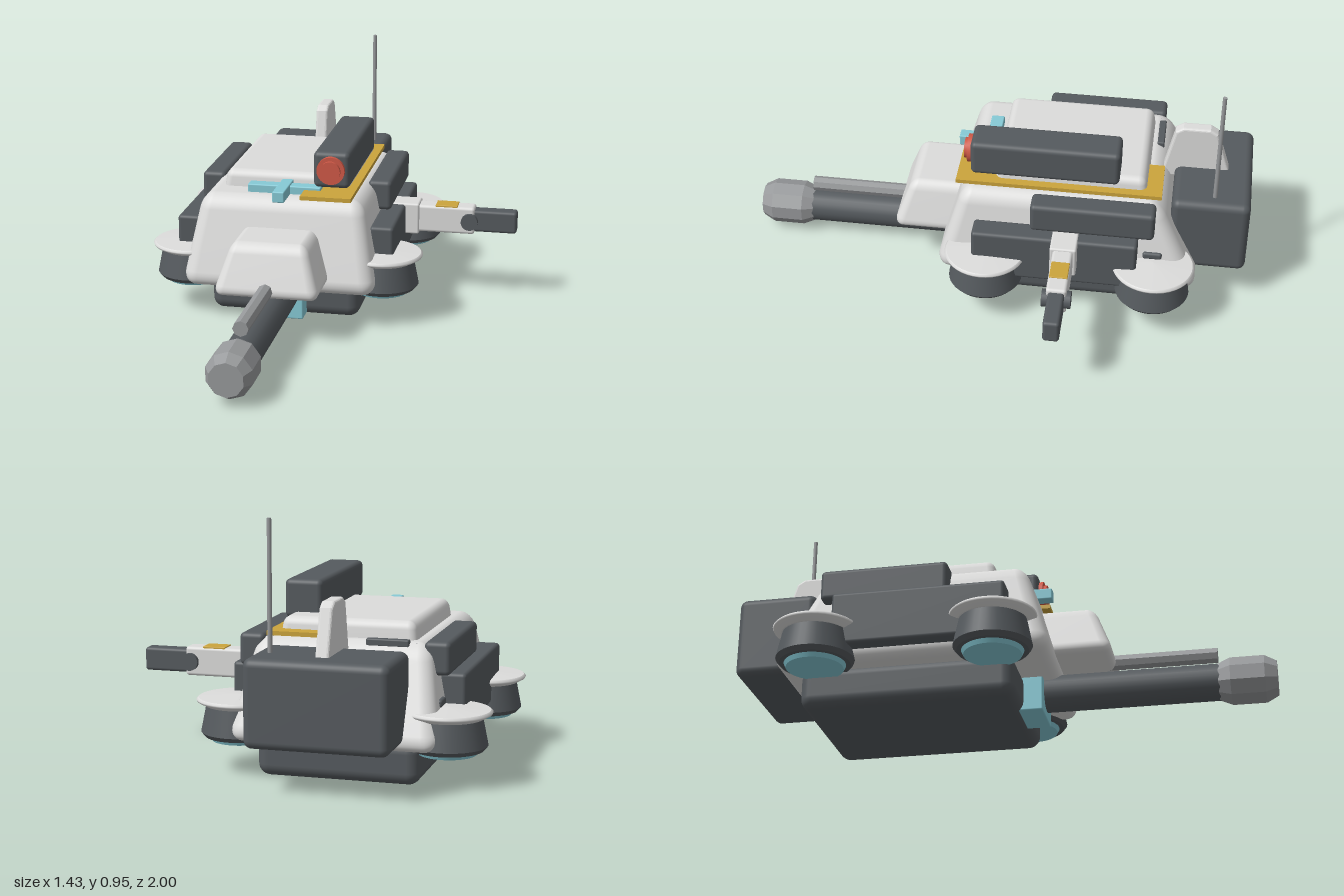
import * as THREE from 'three';
import { RoundedBoxGeometry } from 'three/addons/geometries/RoundedBoxGeometry.js';
import { mergeVertices } from 'three/addons/utils/BufferGeometryUtils.js';

const paint = (name, color) => {
  const m = new THREE.MeshStandardMaterial({ color });
  m.name = name;
  return m;
};

export function createModel() {
  const light = paint('lightGrey', 0xdcdcdb);
  const dark = paint('darkGrey', 0x555a5e);
  const steel = paint('steelGrey', 0x97999b);
  const cyan = paint('cyan', 0x86cad6);
  const gold = paint('gold', 0xcba43c);
  const red = paint('red', 0xcf5947);
  const model = new THREE.Group();
  model.name = 'hoverTank';
  const MID = -0.17; // centre line of the hull

  const add = (name, geo, mat, x = 0, y = 0, z = 0, parent = model) => {
    const mesh = new THREE.Mesh(geo, mat);
    mesh.name = name;
    mesh.position.set(x, y, z);
    parent.add(mesh);
    return mesh;
  };

  // Rounded box between two corners; top = [x0, x1, z0, z1] tapers its upper end
  const block = (name, mat, [x0, x1], [y0, y1], [z0, z1], r = 0.015, top = null) => {
    const w = x1 - x0, h = y1 - y0, d = z1 - z0;
    let geo = new RoundedBoxGeometry(w, h, d, 4, r);
    geo.translate((x0 + x1) / 2, (y0 + y1) / 2, (z0 + z1) / 2);
    if (top) {
      const p = geo.attributes.position;
      for (let i = 0; i < p.count; i++) {
        const t = (p.getY(i) - y0) / h;
        const u = (p.getX(i) - x0) / w, v = (p.getZ(i) - z0) / d;
        const a = THREE.MathUtils.lerp(x0, top[0], t), b = THREE.MathUtils.lerp(x1, top[1], t);
        const c = THREE.MathUtils.lerp(z0, top[2], t), e = THREE.MathUtils.lerp(z1, top[3], t);
        p.setX(i, a + u * (b - a));
        p.setZ(i, c + v * (e - c));
      }
      geo.deleteAttribute('uv');
      geo.deleteAttribute('normal');
      geo = mergeVertices(geo, 1e-5);
      geo.computeVertexNormals();
    }
    return add(name, geo, mat);
  };

  // Faceted or round rod along z
  const rod = (name, mat, r, z0, z1, x, y, sides = 24, flat = false) => {
    let geo = new THREE.CylinderGeometry(r, r, z1 - z0, sides).rotateX(Math.PI / 2);
    if (flat) { geo = geo.toNonIndexed(); geo.computeVertexNormals(); }
    return add(name, geo, mat, x, y, (z0 + z1) / 2);
  };

  // Hull
  block('lowerHull', dark, [-0.47, 0.13], [0, 0.16], [-0.73, 0.07], 0.045);
  block('upperHull', light, [-0.56, 0.22], [0.14, 0.5], [-0.83, 0.22], 0.06, [-0.49, 0.15, -0.65, 0.115]);
  block('roofPanel', light, [-0.435, 0.085], [0.46, 0.565], [-0.605, 0], 0.03, [-0.42, 0.07, -0.59, -0.015]);
  block('frontHood', light, [-0.38, 0.04], [0.185, 0.385], [0.08, 0.42], 0.04, [-0.315, -0.025, 0.08, 0.345]);
  block('rearBox', dark, [-0.43, 0.09], [0.165, 0.482], [-1, -0.695], 0.03);

  // Rear fin
  const fin = new THREE.Shape([[0.65, 0.44], [0.695, 0.64], [0.72, 0.656], [0.82, 0.656], [0.845, 0.64], [0.91, 0.44]]
    .map(([x, y]) => new THREE.Vector2(x, y)));
  const finGeo = new THREE.ExtrudeGeometry(fin, {
    depth: 0.03, bevelEnabled: true, bevelThickness: 0.01, bevelSize: 0.009, bevelSegments: 3,
  }).translate(0, 0, -0.015).rotateY(Math.PI / 2);
  add('rearFin', finGeo, light, MID);

  // Antenna
  add('antenna', new THREE.CylinderGeometry(0.008, 0.009, 0.5, 12), steel, 0.03, 0.7, -0.86);

  // Hover pods
  const lathe = pts => new THREE.LatheGeometry(pts.map(([r, y]) => new THREE.Vector2(r, y)), 40);
  for (const x of [-0.555, 0.215]) for (const z of [-0.645, 0.012]) {
    const pod = new THREE.Group();
    pod.name = 'hoverPod';
    pod.position.set(x, 0, z);
    model.add(pod);
    add('podBody', lathe([[0, 0.128], [0.13, 0.128], [0.13, 0.128], [0.144, 0.145], [0.144, 0.145], [0.124, 0.245], [0.124, 0.245], [0, 0.245]]), dark, 0, 0, 0, pod);
    add('podRim', lathe([[0, 0.243], [0.13, 0.243], [0.13, 0.243], [0.157, 0.258], [0.16, 0.265], [0.152, 0.272], [0.152, 0.272], [0, 0.28]]), light, 0, 0, 0, pod);
    add('podGlow', new THREE.CylinderGeometry(0.115, 0.105, 0.02, 40), cyan, 0, 0.122, 0, pod);
  }

  // Side boxes and vents, mirrored about the hull's centre line
  for (const s of [-1, 1]) {
    const span = (a, b) => [MID + s * a, MID + s * b].sort((p, q) => p - q);
    block('upperSideBox', dark, span(0.295, 0.39), [0.385, 0.505], [-0.64, -0.16], 0.018);
    block('lowerSideBox', dark, span(0.34, 0.435), [0.18, 0.385], [-0.58, 0.062], 0.014);
    block('sideVent', dark, span(0.33, 0.37), [0.278, 0.307], [-0.675, -0.6], 0.01);
    add('frontBolt', new THREE.SphereGeometry(0.013, 12, 8), steel, MID + s * 0.265, 0.487, 0.07);
    add('rearBolt', new THREE.SphereGeometry(0.01, 12, 8), steel, MID + s * 0.265, 0.487, -0.62);
  }
  block('roofSlot', dark, [-0.412, -0.255], [0.48, 0.508], [-0.645, -0.617], 0.006);

  // Main gun
  rod('gunBarrel', dark, 0.069, 0.05, 0.83, MID, 0.107, 20);
  rod('gunRail', steel, 0.03, 0.1, 0.785, MID, 0.215, 8, true);
  const muzzle = new THREE.LatheGeometry(
    [[0, 0.785], [0.07, 0.785], [0.09, 0.83], [0.09, 0.955], [0.066, 1], [0, 1]].map(([r, y]) => new THREE.Vector2(r, y)), 10)
    .rotateX(Math.PI / 2).toNonIndexed();
  muzzle.computeVertexNormals();
  add('gunMuzzle', muzzle, steel, MID, 0.107, 0);
  block('gunMount', cyan, [-0.268, -0.08], [0.01, 0.18], [0, 0.142], 0.006);

  // Roof sight: crossbar with a forward rod
  block('sightCrossbar', cyan, [-0.317, -0.025], [0.492, 0.532], [0.008, 0.06], 0.005);
  block('sightRod', cyan, [-0.194, -0.147], [0.495, 0.539], [-0.02, 0.168], 0.005);

  // Launcher on its gold plate
  add('launcherPlate', new THREE.BoxGeometry(0.2, 0.016, 0.8), gold, 0.01, 0.512, -0.257);
  block('launcherTube', dark, [-0.048, 0.095], [0.541, 0.685], [-0.49, 0.088], 0.02);
  rod('launcherLens', red, 0.055, 0.07, 0.104, 0.023, 0.615, 32);
  rod('launcherLensCentre', red, 0.04, 0.09, 0.117, 0.023, 0.615, 32);

  // Side arm on the left
  block('armShoulder', light, [0.2, 0.32], [0.262, 0.39], [-0.352, -0.25], 0.008);
  block('armSegment', light, [0.3, 0.545], [0.27, 0.382], [-0.34, -0.262], 0.012);
  block('armBand', gold, [0.385, 0.475], [0.37, 0.386], [-0.336, -0.266], 0.003);
  add('armJoint', new THREE.CylinderGeometry(0.034, 0.034, 0.11, 20).rotateX(Math.PI / 2), dark, 0.525, 0.325, -0.301);
  block('armTip', dark, [0.53, 0.715], [0.28, 0.37], [-0.332, -0.27], 0.012);

  return model;
}
